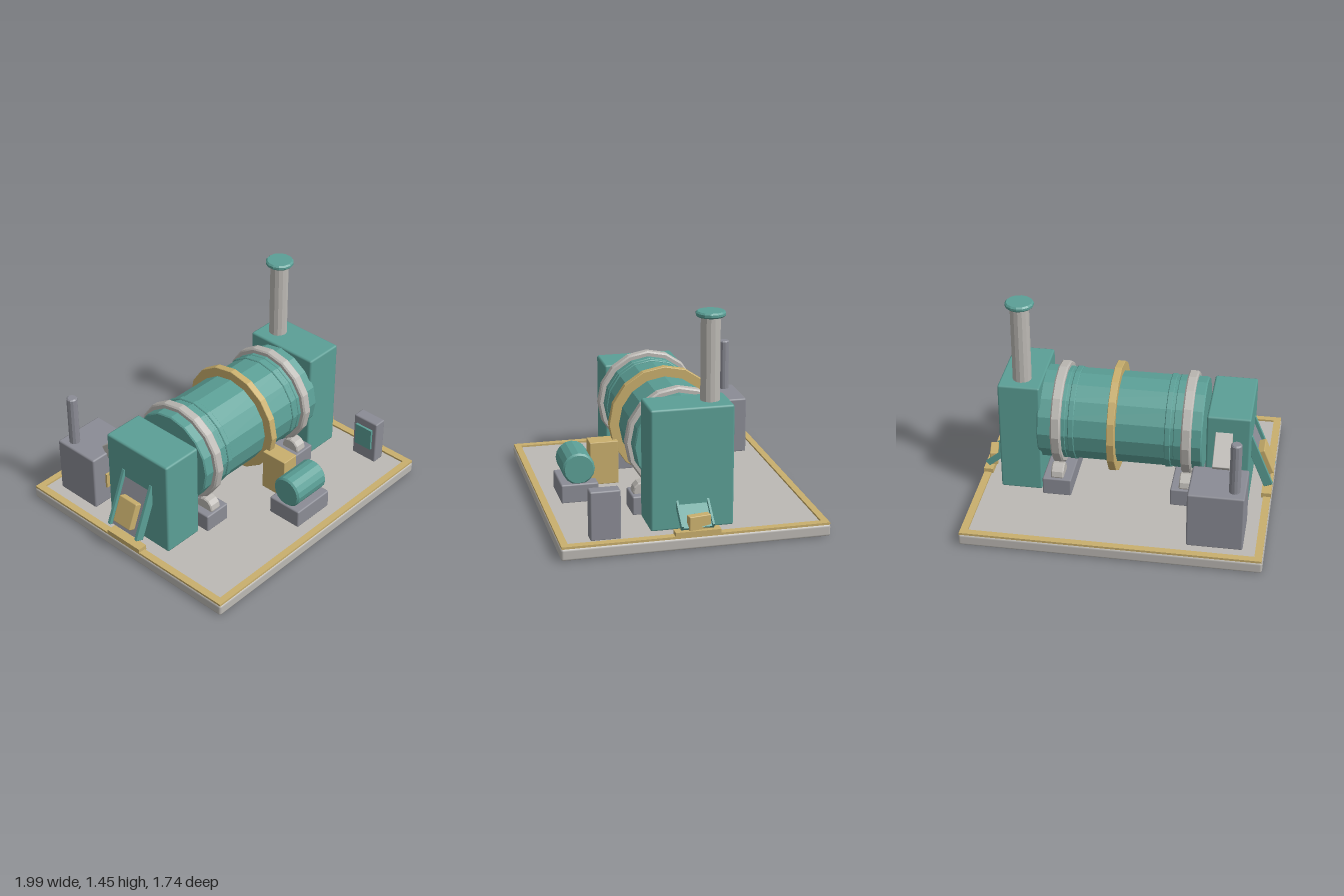
import * as THREE from 'three';
import { toCreasedNormals } from 'three/addons/utils/BufferGeometryUtils.js';
import { RoundedBoxGeometry } from 'three/addons/geometries/RoundedBoxGeometry.js';

export function createModel() {
  const model = new THREE.Group();
  model.name = 'rotaryDryerPlant';

  const material = (name, color) => {
    const m = new THREE.MeshStandardMaterial({ color });
    m.name = name;
    return m;
  };
  const teal = material('tealPaint', 0x5b9f96);
  const ochre = material('ochrePaint', 0xc9af6d);
  const pale = material('paleSteel', 0xbcb9b4);
  const slate = material('slateSteel', 0x8b8c95);

  const add = (name, geometry, mat, x, y, z, parent = model) => {
    const mesh = new THREE.Mesh(geometry, mat);
    mesh.name = name;
    mesh.position.set(x, y, z);
    parent.add(mesh);
    return mesh;
  };

  // Box given by its extents, with a small bevel when b > 0
  const box = (name, mat, [x0, x1], [y0, y1], [z0, z1], b = 0, parent = model) => {
    const s = [x1 - x0, y1 - y0, z1 - z0];
    const g = b ? new RoundedBoxGeometry(...s, 1, b) : new THREE.BoxGeometry(...s);
    return add(name, g, mat, (x0 + x1) / 2, (y0 + y1) / 2, (z0 + z1) / 2, parent);
  };

  // Faceted cylinder with bevelled rims, standing on y
  const drum = (r, h, sides, b) => {
    const profile = [[0, -h / 2], [r - b, -h / 2], [r, b - h / 2], [r, h / 2 - b], [r - b, h / 2], [0, h / 2]];
    const g = new THREE.LatheGeometry(profile.map(p => new THREE.Vector2(...p)), sides);
    return toCreasedNormals(g, 0.3);
  };
  const post = (name, mat, r, y0, y1, x, z, sides, b) =>
    add(name, drum(r, y1 - y0, sides, b), mat, x, (y0 + y1) / 2, z);
  // The same cylinder lying along x
  const roller = (name, mat, r, x0, x1, y, z, sides, b) =>
    add(name, drum(r, x1 - x0, sides, b).rotateZ(Math.PI / 2), mat, (x0 + x1) / 2, y, z);

  // Base slab with painted border
  box('baseSlab', pale, [-0.995, 0.995], [0, 0.08], [-0.87, 0.87], 0.016);
  for (const s of [-1, 1]) {
    box('borderLong', ochre, [-0.99, 0.99], [0.078, 0.093], [s * 0.842 - 0.023, s * 0.842 + 0.023]);
    box('borderShort', ochre, [s * 0.965 - 0.025, s * 0.965 + 0.025], [0.078, 0.093], [-0.82, 0.82]);
    box('thresholdPlate', ochre, [s * 0.96 - 0.033, s * 0.96 + 0.033], [0.085, 0.12], [-0.147, 0.147]);
  }

  // Rotating drum, bands, riding rings and drive ring
  const Y = 0.55;
  roller('drumShell', teal, 0.312, -0.53, 0.575, Y, 0, 16, 0.008);
  for (const x of [-0.3, 0.345]) roller('drumBand', teal, 0.32, x - 0.02, x + 0.02, Y, 0, 16, 0.005);
  for (const [a, b] of [[-0.53, -0.335], [0.38, 0.575]]) roller('drumCollar', teal, 0.316, a, b, Y, 0, 16, 0.008);
  roller('driveRing', ochre, 0.377, 0.045, 0.095, Y, 0, 16, 0.003);

  // Riding rings with their pedestals and support rollers
  for (const x of [-0.426, 0.444]) {
    roller('ridingRing', pale, 0.35, x - 0.034, x + 0.034, Y, 0, 16, 0.01);
    box('rollerPedestal', slate, [x - 0.098, x + 0.098], [0.075, 0.203], [-0.32, 0.32], 0.01);
    for (const s of [-1, 1])
      roller('supportRoller', pale, 0.07, x - 0.043, x + 0.043, 0.212, s * 0.235, 12, 0.008);
  }

  // End housings
  box('feedHousing', teal, [-0.845, -0.555], [0.075, 0.77], [-0.27, 0.27], 0.014);
  box('dischargeHousing', teal, [0.555, 0.838], [0.075, 0.875], [-0.27, 0.27], 0.014);

  // Exhaust stack
  post('stack', pale, 0.063, 0.86, 1.42, 0.693, -0.147, 14, 0.004);
  post('stackCap', teal, 0.095, 1.415, 1.45, 0.693, -0.147, 14, 0.01);

  // Drive motor and gearbox
  box('motorBase', slate, [-0.086, 0.231], [0.075, 0.205], [0.48, 0.73], 0.01);
  roller('motor', teal, 0.108, -0.073, 0.216, 0.302, 0.607, 16, 0.012);
  box('gearbox', ochre, [0.012, 0.135], [0.155, 0.45], [0.325, 0.517], 0.005);

  // Furnace with flue, burner plate and hot air duct
  box('furnace', slate, [-0.857, -0.488], [0.075, 0.475], [-0.747, -0.405], 0.012);
  post('flue', slate, 0.037, 0.46, 0.835, -0.785, -0.66, 12, 0.008);
  box('burnerPlate', ochre, [-0.757, -0.585], [0.2, 0.31], [-0.41, -0.39]);
  const duct = box('hotAirDuct', pale, [-0.73, -0.615], [0.473, 0.603], [-0.443, -0.183], 0.005);
  duct.rotation.x = -0.69;

  // Control cabinet
  box('controlCabinet', slate, [0.81, 0.902], [0.075, 0.4], [0.473, 0.668], 0.01);
  box('cabinetDoor', teal, [0.793, 0.813], [0.18, 0.34], [0.5, 0.636]);

  // Feed chute leaning on the feed housing
  const feed = new THREE.Group();
  feed.name = 'feedChute';
  feed.position.set(-0.895, 0.363, 0);
  feed.rotation.z = -0.39;
  model.add(feed);
  box('chuteFloor', slate, [-0.008, 0.022], [-0.195, 0.2], [-0.115, 0.115], 0, feed);
  for (const s of [-1, 1])
    box('chuteWall', teal, [-0.032, 0.032], [-0.2, 0.2], [s * 0.124 - 0.012, s * 0.124 + 0.012], 0.004, feed);
  box('feedBlock', ochre, [-0.055, 0], [-0.15, 0.04], [-0.08, 0.075], 0.008, feed);

  // Discharge chute with product block
  const out = new THREE.Group();
  out.name = 'dischargeChute';
  out.position.set(0.895, 0.2, 0);
  out.rotation.z = -0.68;
  model.add(out);
  box('dischargeFloor', teal, [-0.1, 0.1], [-0.022, -0.002], [-0.105, 0.105], 0, out);
  for (const s of [-1, 1])
    box('dischargeWall', teal, [-0.1, 0.1], [-0.022, 0.02], [s * 0.1 - 0.007, s * 0.1 + 0.007], 0, out);
  const block = box('productBlock', ochre, [0.918, 0.972], [0.115, 0.21], [-0.085, 0.06], 0.005);
  block.rotation.y = 0.17;

  return model;
}
